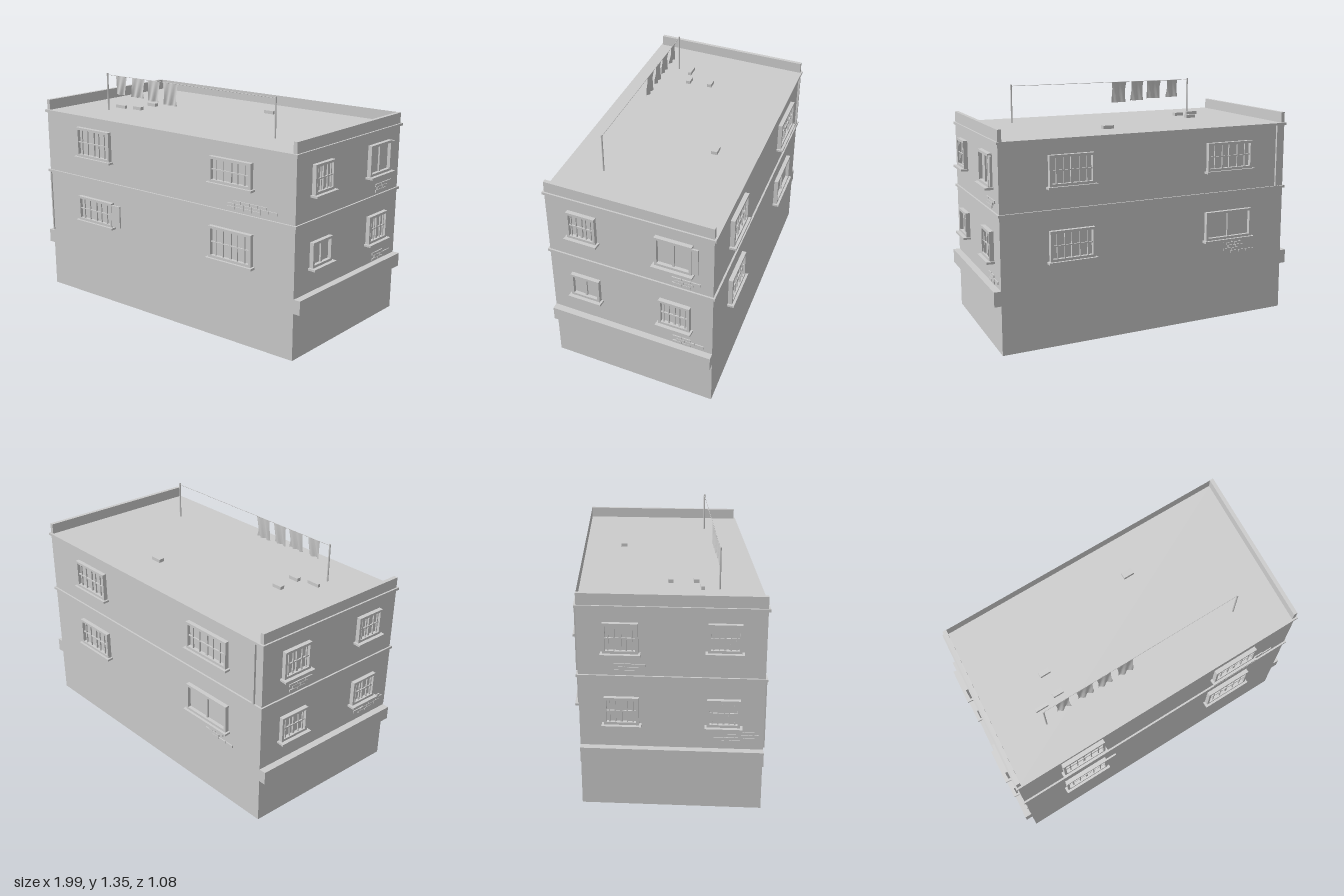
import * as THREE from 'three';

const concrete = new THREE.MeshStandardMaterial({ color: 0xcccccc });
concrete.name = 'concrete grey';
const cloth = new THREE.MeshStandardMaterial({ color: 0xcccccc, side: THREE.DoubleSide });
cloth.name = 'cloth grey';

// Skewed footprint: half axes along the long and the short walls (x, z)
const A = [0.89, 0.045], B = [0.0675, -0.47];
const at = (u, v) => [A[0] * u + B[0] * v, A[1] * u + B[1] * v];

function add(parent, name, geometry, x = 0, y = 0, z = 0, material = concrete) {
  const mesh = new THREE.Mesh(geometry, material);
  mesh.name = name;
  mesh.position.set(x, y, z);
  parent.add(mesh);
  return mesh;
}

// Box given by its edges in wall coordinates
function block(parent, name, x0, x1, y0, y1, z0, z1) {
  return add(parent, name, new THREE.BoxGeometry(x1 - x0, y1 - y0, z1 - z0),
    (x0 + x1) / 2, (y0 + y1) / 2, (z0 + z1) / 2);
}

// Slab with the skewed footprint, u and v running from -1 to 1
function slab(parent, name, y0, y1, u0 = -1, u1 = 1, v0 = -1, v1 = 1) {
  const corners = [[u0, v0], [u1, v0], [u1, v1], [u0, v1]].map(([u, v]) => {
    const [x, z] = at(u, v);
    return new THREE.Vector2(x, -z);
  });
  const geometry = new THREE.ExtrudeGeometry(new THREE.Shape(corners), { depth: y1 - y0, bevelEnabled: false });
  geometry.rotateX(-Math.PI / 2);
  return add(parent, name, geometry, 0, y0, 0);
}

// Window with frame, glass, sill and either bars or a single mullion
function windowUnit(wall, { x, y, w, h, barred = true, leaf = 0, sill = 0.038 }) {
  const g = new THREE.Group();
  g.name = 'window';
  g.position.set(x, y, 0);
  wall.add(g);
  const hw = w / 2, hh = h / 2, t = 0.014, d = 0.024;
  block(g, 'frameLeft', -hw, -hw + t, -hh, hh, 0, d);
  block(g, 'frameRight', hw - t, hw, -hh, hh, 0, d);
  block(g, 'frameTop', -hw + t, hw - t, hh - t, hh, 0, d);
  block(g, 'frameBottom', -hw + t, hw - t, -hh, -hh + t, 0, d);
  block(g, 'glass', -hw + t, hw - t, -hh + t, hh - t, 0, 0.004);
  block(g, 'mullion', -0.006, 0.006, -hh + t, hh - t, 0, 0.014);
  block(g, 'sill', -hw - 0.012, hw + 0.012, -hh - 0.012, -hh, 0, sill);
  if (barred) {
    for (const k of [-0.68, -0.34, 0.34, 0.68]) {
      block(g, 'bar', k * hw - 0.003, k * hw + 0.003, -hh + t, hh - t, 0.01, 0.018);
    }
    block(g, 'crossBar', -hw + t, hw - t, -0.003, 0.003, 0.01, 0.018);
  }
  if (leaf) {
    block(g, 'openLeaf', hw, hw + leaf, -hh + 0.008, hh - 0.008, 0.012, 0.022);
  }
}

// Exposed bricks: each row is [start, number of bricks], from the top down
function bricks(wall, x, y, rows) {
  const g = new THREE.Group();
  g.name = 'exposedBricks';
  wall.add(g);
  rows.forEach(([start, count], r) => {
    for (let i = 0; i < count; i++) {
      const bx = x + start + i * 0.054;
      block(g, 'brick', bx, bx + 0.051, y - r * 0.017 - 0.015, y - r * 0.017, 0, 0.006);
    }
  });
}

// Wall frame: local x runs along the wall, local z points outwards
function makeWall(parent, name, [px, pz], [dx, dz]) {
  const wall = new THREE.Group();
  wall.name = name;
  wall.position.set(px, 0, pz);
  wall.rotation.y = Math.atan2(-dz, dx);
  parent.add(wall);
  return wall;
}

export function createModel() {
  const model = new THREE.Group();
  model.name = 'apartmentBlock';
  const neg = ([x, z]) => [-x, -z];

  // Body, side ledges and cornices
  slab(model, 'base', 0, 0.27);
  slab(model, 'sideLedge', 0.27, 0.35, -1.044, 1.044);
  slab(model, 'storeys', 0.35, 1.11);
  slab(model, 'lowerCornice', 0.737, 0.751, -1.011, 1.011, -1.022, 1.022);
  slab(model, 'roofCornice', 1.11, 1.124, -1.011, 1.011, -1.022, 1.022);

  // Parapets stand on both ends; the rear one is a thin inward face
  for (const s of [-1, 1]) {
    slab(model, 'endParapet', 1.124, 1.185, s < 0 ? -1 : 0.975, s < 0 ? -0.975 : 1);
  }
  const rear = at(0, 0.995);
  const rearParapet = add(model, 'rearParapet', new THREE.PlaneGeometry(1.75, 0.061), rear[0], 1.1545, rear[1]);
  rearParapet.rotation.y = Math.atan2(-A[1], A[0]);

  // Front wall
  const front = makeWall(model, 'frontWall', neg(B), A);
  windowUnit(front, { x: -0.50, y: 0.967, w: 0.26, h: 0.175 });
  windowUnit(front, { x: 0.494, y: 0.967, w: 0.27, h: 0.14 });
  windowUnit(front, { x: -0.50, y: 0.557, w: 0.27, h: 0.147, leaf: 0.064 });
  windowUnit(front, { x: 0.494, y: 0.56, w: 0.28, h: 0.18 });
  bricks(front, 0.465, 0.815, [[0.04, 4], [0, 6], [0, 4]]);
  block(front, 'drainPipe', -0.889, -0.881, 0.36, 0.737, 0, 0.008);

  // Right wall
  const right = makeWall(model, 'rightWall', A, B);
  windowUnit(right, { x: -0.262, y: 0.967, w: 0.165, h: 0.16, sill: 0.045 });
  windowUnit(right, { x: 0.26, y: 0.963, w: 0.205, h: 0.175, barred: false, leaf: 0.035, sill: 0.045 });
  windowUnit(right, { x: -0.262, y: 0.56, w: 0.17, h: 0.14, barred: false, sill: 0.045 });
  windowUnit(right, { x: 0.263, y: 0.56, w: 0.178, h: 0.16, sill: 0.045 });
  bricks(right, 0.247, 0.813, [[0, 3], [0.015, 2], [0, 2]]);
  bricks(right, 0.247, 0.404, [[0, 2], [0.02, 3], [0, 2]]);

  // Back wall
  const back = makeWall(model, 'backWall', B, neg(A));
  windowUnit(back, { x: -0.49, y: 0.957, w: 0.26, h: 0.165 });
  windowUnit(back, { x: 0.50, y: 0.957, w: 0.30, h: 0.16 });
  windowUnit(back, { x: -0.49, y: 0.557, w: 0.26, h: 0.165 });
  windowUnit(back, { x: 0.50, y: 0.557, w: 0.31, h: 0.165, barred: false });
  bricks(back, 0.48, 0.462, [[0, 3], [0.02, 2], [0.03, 2], [0, 2], [0.05, 3]]);
  block(back, 'drainPipe', 0.832, 0.844, 0.751, 1.11, 0, 0.012);

  // Left wall
  const left = makeWall(model, 'leftWall', neg(A), neg(B));
  windowUnit(left, { x: -0.255, y: 0.957, w: 0.18, h: 0.16, sill: 0.045 });
  windowUnit(left, { x: 0.268, y: 0.967, w: 0.17, h: 0.15, sill: 0.045 });
  windowUnit(left, { x: -0.255, y: 0.557, w: 0.18, h: 0.15, sill: 0.045 });
  windowUnit(left, { x: 0.268, y: 0.557, w: 0.17, h: 0.15, sill: 0.045 });
  bricks(left, -0.29, 0.815, [[0, 3], [0.02, 2], [0, 2]]);
  bricks(left, 0.22, 0.45, [[0.05, 3], [0.07, 3], [0, 4], [0.04, 2]]);

  // Loose blocks on the roof
  for (const [x, z, w, d] of [[0.215, -0.235, 0.065, 0.035], [-0.495, -0.015, 0.06, 0.028],
    [-0.5, 0.12, 0.06, 0.028], [-0.615, 0.14, 0.075, 0.018]]) {
    add(model, 'roofBlock', new THREE.BoxGeometry(w, 0.02, d), x, 1.133, z).rotation.y = -0.05;
  }

  // Clothes line: two posts, a cord and hanging clothes
  const p0 = new THREE.Vector3(-0.642, 1.338, 0.227), p1 = new THREE.Vector3(0.56, 1.338, 0.287);
  for (const p of [p0, p1]) {
    add(model, 'linePost', new THREE.CylinderGeometry(0.005, 0.005, 0.225, 8), p.x, 1.2345, p.z);
  }
  add(model, 'lineCord', new THREE.TubeGeometry(new THREE.LineCurve3(p0, p1), 1, 0.0015, 5));
  for (const [x0, x1, drop] of [[-0.57, -0.49, 0.108], [-0.447, -0.347, 0.11],
    [-0.322, -0.234, 0.118], [-0.2, -0.1, 0.125]]) {
    const geometry = new THREE.PlaneGeometry(x1 - x0, drop, 10, 6);
    const pos = geometry.attributes.position;
    for (let i = 0; i < pos.count; i++) {
      const fall = 0.5 - pos.getY(i) / drop;
      pos.setX(i, pos.getX(i) * (1 - 0.1 * Math.sin(fall * Math.PI)));
      pos.setZ(i, 0.008 * fall + 0.008 * Math.sin(pos.getX(i) * 130 + fall * 3) * (0.25 + 0.75 * fall));
    }
    geometry.computeVertexNormals();
    const x = (x0 + x1) / 2;
    add(model, 'hangingCloth', geometry, x, 1.338 - drop / 2, 0.227 + (x - p0.x) * 0.05, cloth).rotation.y = -0.05;
  }
  return model;
}
